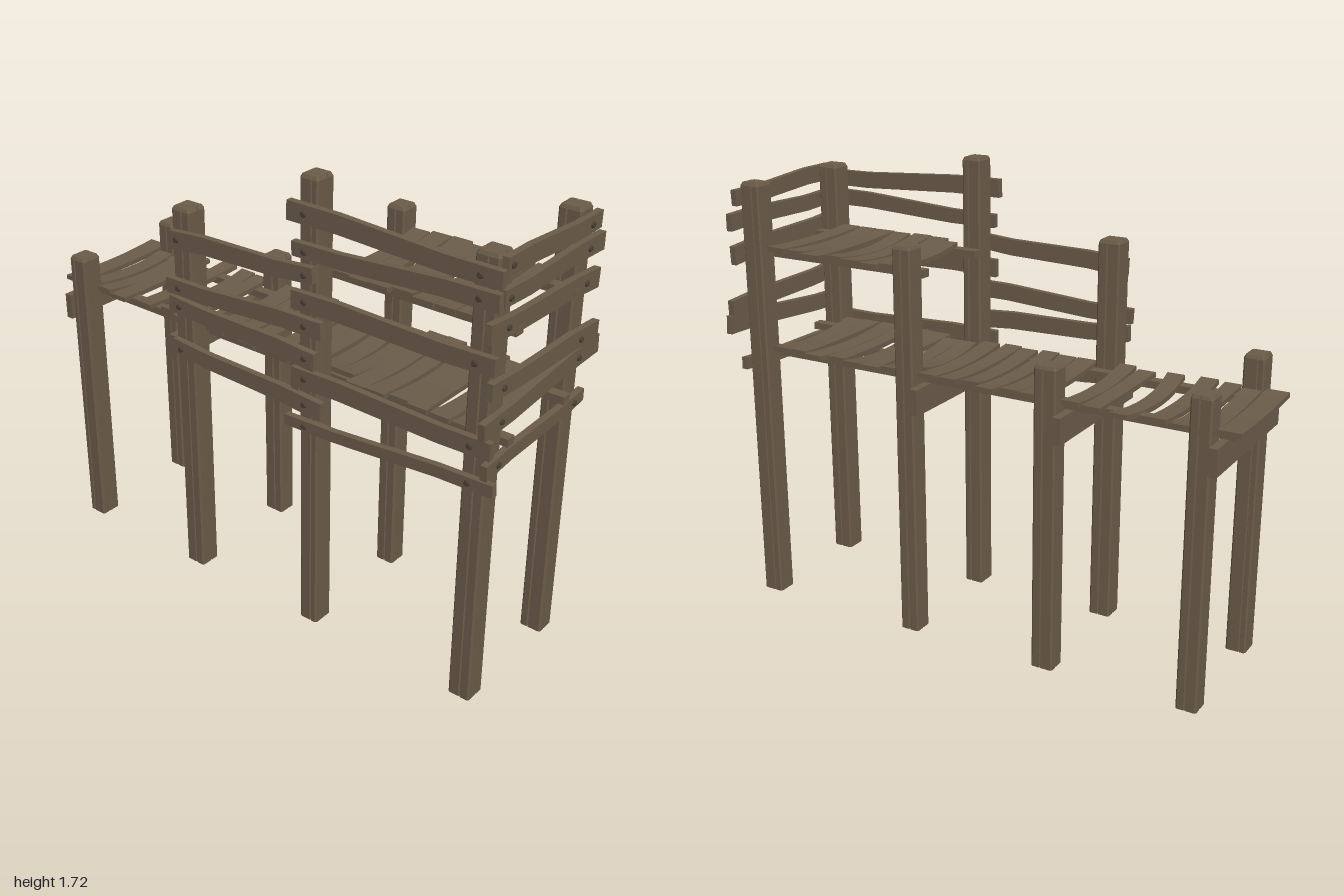
import * as THREE from 'three';

const wood = new THREE.MeshStandardMaterial({ color: 0x6a5c49 });
wood.name = 'weathered wood';
const iron = new THREE.MeshStandardMaterial({ color: 0x4a4135 });
iron.name = 'dark bolt';

// small seeded generator for hand-cut irregularity, returns -1..1
function seeded(seed) {
  return () => {
    seed = (seed * 16807) % 2147483647;
    return (seed / 2147483647) * 2 - 1;
  };
}

function addMesh(parent, geometry, name, material = wood) {
  const mesh = new THREE.Mesh(geometry, material);
  mesh.name = name;
  parent.add(mesh);
  return mesh;
}

// Moves every vertex by a rule, then restores flat faces
function reshape(geometry, rule) {
  const flat = geometry.index ? geometry.toNonIndexed() : geometry;
  const p = flat.attributes.position;
  const v = new THREE.Vector3();
  for (let i = 0; i < p.count; i++) {
    v.fromBufferAttribute(p, i);
    rule(v);
    p.setXYZ(i, v.x, v.y, v.z);
  }
  flat.computeVertexNormals();
  return flat;
}

// Square post with clipped corners, a long crack on each face and a worn top
function postGeometry(w, d, height, crack) {
  const a = w / 2, b = d / 2, c = 0.006, g = 0.003;
  const outline = [
    [-a + c, -b], [crack - g, -b], [crack, -b + 0.008], [crack + g, -b], [a - c, -b],
    [a, -b + c], [a, crack - g], [a - 0.008, crack], [a, crack + g], [a, b - c],
    [a - c, b], [crack + g, b], [crack, b - 0.008], [crack - g, b], [-a + c, b],
    [-a, b - c], [-a, crack + g], [-a + 0.008, crack], [-a, crack - g], [-a, -b + c],
  ];
  const shape = new THREE.Shape(outline.map(([x, y]) => new THREE.Vector2(x, y)));
  const geometry = new THREE.ExtrudeGeometry(shape, { depth: height, steps: 2, bevelEnabled: false });
  geometry.rotateX(-Math.PI / 2);
  geometry.clearGroups();
  return reshape(geometry, (v) => {
    if (v.y > height * 0.9) {
      v.x *= 0.86;
      v.z *= 0.86;
    } else if (v.y > height * 0.4) {
      v.y = height - 0.012;
    }
  });
}

// Rough board running along x, its height changing slightly from end to end
function railGeometry(length, height, thickness, taper) {
  return reshape(new THREE.BoxGeometry(length, height, thickness, 4, 1, 1), (v) => {
    const t = v.x / length;
    v.y *= 1 + taper * t * 2;
    v.y += 0.004 * Math.sin(t * 9) * Math.sign(taper);
  });
}

// Floor plank running along z, sagging and bowed sideways
function plankGeometry(width, length, bow, sag, waist) {
  return reshape(new THREE.BoxGeometry(width, 0.018, length, 1, 1, 8), (v) => {
    const t = (2 * v.z) / length;
    const middle = 1 - t * t;
    v.x = v.x * (1 - waist * middle) + bow * middle;
    v.y -= sag * middle;
  });
}

export function createModel() {
  const model = new THREE.Group();
  model.name = 'woodenWalkway';
  const rand = seeded(4711);

  // Posts: x, width, front height, back height
  const posts = [
    [-0.877, 0.077, 1.14, 1.135],
    [-0.318, 0.084, 1.475, 1.14],
    [0.25, 0.075, 1.72, 1.48],
    [0.91, 0.083, 1.64, 1.64],
  ];
  for (const [x, w, front, back] of posts) {
    addMesh(model, postGeometry(w, 0.084, front, rand() * 0.015), 'frontPost').position.set(x, 0, 0.254);
    addMesh(model, postGeometry(w, 0.078, back, rand() * 0.015), 'backPost').position.set(x, 0, -0.216);
  }

  // Cross beams carrying the lower floor
  for (const x of [-0.932, -0.375, 0.198]) {
    addMesh(model, new THREE.BoxGeometry(0.03, 0.098, 0.58), 'crossBeam').position.set(x, 0.926, 0.015);
  }

  // Stringers under both floors: start, end, height
  for (const [x1, x2, y] of [[-0.97, 0.975, 0.988], [0.21, 0.975, 1.37]]) {
    for (const z of [-0.157, 0.19]) {
      addMesh(model, new THREE.BoxGeometry(x2 - x1, 0.028, 0.04), 'stringer')
        .position.set((x1 + x2) / 2, y, z);
    }
  }

  // Floor planks: x, width, back z, front z, sideways bow
  const lowerPlanks = [
    [-0.96, 0.084, -0.22, 0.245, 0], [-0.88, 0.07, -0.25, 0.225, 0.008],
    [-0.8, 0.062, -0.24, 0.24, 0.01], [-0.708, 0.068, -0.22, 0.255, -0.01],
    [-0.585, 0.068, -0.245, 0.24, -0.018], [-0.48, 0.068, -0.23, 0.22, 0.01],
    [-0.395, 0.066, -0.22, 0.245, -0.01], [-0.237, 0.08, -0.22, 0.235, 0],
    [-0.157, 0.07, -0.215, 0.23, -0.006], [-0.073, 0.07, -0.24, 0.25, -0.008],
    [0.01, 0.07, -0.2, 0.24, 0.006], [0.09, 0.07, -0.22, 0.25, 0.01],
    [0.178, 0.075, -0.215, 0.24, -0.008], [0.258, 0.076, -0.16, 0.2, 0],
  ];
  const upperPlanks = [
    [0.335, 0.07, -0.22, 0.2, 0], [0.41, 0.078, -0.24, 0.25, -0.01],
    [0.49, 0.078, -0.24, 0.25, 0.006], [0.575, 0.076, -0.22, 0.235, -0.01],
    [0.66, 0.078, -0.245, 0.25, 0.012], [0.745, 0.074, -0.22, 0.25, -0.006],
    [0.828, 0.078, -0.22, 0.25, 0],
  ];
  // the lower floor runs on beneath the upper one
  for (const [x, w, z1, z2, bow] of upperPlanks) lowerPlanks.push([x, w, z1, z2, -bow]);
  for (const [list, y, name] of [[lowerPlanks, 1.012, 'floorPlank'], [upperPlanks, 1.394, 'upperFloorPlank']]) {
    for (const [x, w, z1, z2, bow] of list) {
      const sag = 0.016 + rand() * 0.008;
      const plank = addMesh(model, plankGeometry(w, z2 - z1, bow, sag, 0.06), name);
      plank.position.set(x, y + rand() * 0.003, (z1 + z2) / 2);
      plank.rotation.y = rand() * 0.015;
    }
  }

  // Rails nailed to two posts: start, end, y at start, y at end, height, taper
  function addRails(parent, rails, postPositions, name) {
    for (const [s1, s2, y1, y2, h, taper] of rails) {
      const run = s2 - s1, rise = y2 - y1;
      const rail = addMesh(parent, railGeometry(Math.hypot(run, rise), h, 0.024, taper), name);
      rail.position.set((s1 + s2) / 2, (y1 + y2) / 2, 0);
      rail.rotation.z = Math.atan2(rise, run);
      for (const s of postPositions) {
        const bolt = addMesh(parent, new THREE.CylinderGeometry(0.009, 0.012, 0.008, 8), 'bolt', iron);
        bolt.rotation.x = Math.PI / 2;
        bolt.position.set(s, y1 + (rise * (s - s1)) / run, 0.015);
      }
    }
  }

  // Front railing, tall and low sections
  const frontRailing = new THREE.Group();
  frontRailing.name = 'frontRailing';
  frontRailing.position.z = 0.309;
  model.add(frontRailing);
  addRails(frontRailing, [
    [0.18, 0.98, 1.603, 1.573, 0.063, -0.08],
    [0.2, 0.975, 1.47, 1.505, 0.056, 0.1],
    [0.195, 0.975, 1.297, 1.29, 0.064, -0.05],
    [0.195, 0.98, 1.015, 1.003, 0.066, -0.06],
    [0.165, 0.998, 0.828, 0.877, 0.042, 0.05],
  ], [0.25, 0.905], 'tallRail');
  addRails(frontRailing, [
    [-0.35, 0.285, 1.365, 1.393, 0.062, -0.08],
    [-0.375, 0.32, 1.18, 1.213, 0.06, 0.05],
    [-0.365, 0.29, 1.113, 1.09, 0.062, 0.06],
    [-0.355, 0.32, 0.945, 0.913, 0.062, 0.08],
  ], [-0.318, 0.25], 'lowRail');

  // End railing; its own x axis runs towards the back
  const endRailing = new THREE.Group();
  endRailing.name = 'endRailing';
  endRailing.position.x = 0.961;
  endRailing.rotation.y = Math.PI / 2;
  model.add(endRailing);
  addRails(endRailing, [
    [-0.28, 0.28, 1.605, 1.58, 0.062, -0.05],
    [-0.285, 0.315, 1.5, 1.503, 0.06, 0.05],
    [-0.35, 0.305, 1.41, 1.378, 0.066, 0.05],
    [-0.32, 0.335, 1.205, 1.18, 0.064, 0.05],
    [-0.35, 0.35, 1.08, 1.125, 0.064, 0.06],
    [-0.32, 0.28, 0.93, 0.95, 0.05, -0.08],
  ], [-0.254, 0.216], 'endRail');

  return model;
}
